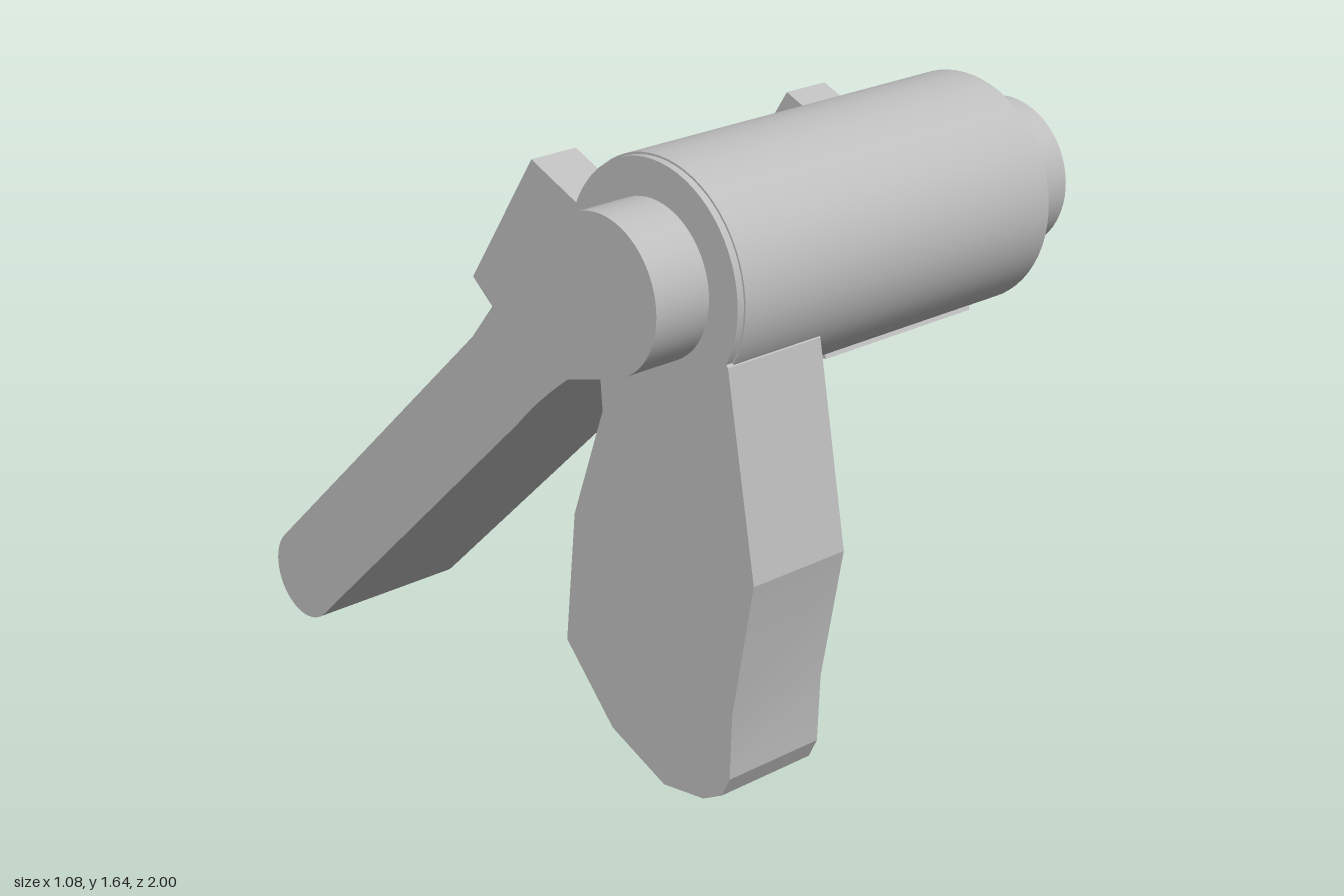
import * as THREE from 'three';
import { toCreasedNormals } from 'three/addons/utils/BufferGeometryUtils.js';

const AXIS_Z = 0.715, AXIS_Y = 1.41;

export function createModel() {
  const model = new THREE.Group();
  model.name = 'pivotLever';
  const steel = new THREE.MeshStandardMaterial({ color: 0xbfbfbf });
  steel.name = 'plain grey';

  const add = (name, geometry) => {
    const mesh = new THREE.Mesh(geometry, steel);
    mesh.name = name;
    model.add(mesh);
  };

  // Side profile drawn as (z, y), extruded from x0 to x1
  const slab = (name, shape, x0, x1) => {
    const g = new THREE.ExtrudeGeometry(shape, { depth: x1 - x0, bevelEnabled: false, curveSegments: 20 });
    g.rotateY(-Math.PI / 2).translate(x1, 0, 0);
    add(name, toCreasedNormals(g, 0.3));
  };

  // Cylinder lying along x on the pivot axis
  const round = (name, r, x0, x1) => {
    const g = new THREE.CylinderGeometry(r, r, x1 - x0, 64);
    g.rotateZ(Math.PI / 2).translate((x0 + x1) / 2, AXIS_Y, AXIS_Z);
    add(name, g);
  };

  const outline = (pts) => new THREE.Shape(pts.map(([z, y]) => new THREE.Vector2(z, y)));

  // Pivot pin, barrel and the thin collar of the hanging finger
  round('pivotPin', 0.153, -0.54, 0.54);
  round('barrel', 0.23, -0.4, 0.4);
  round('fingerCollar', 0.226, -0.415, -0.185);

  // Curved lever with a rounded tip
  const lever = new THREE.Shape();
  lever.moveTo(0.84, 1.207);
  lever.lineTo(0.75, 1.4);
  lever.lineTo(0.535, 1.557);
  lever.splineThru([[0.43, 1.502], [0.26, 1.4], [0.12, 1.302], [0, 1.193], [-0.11, 1.072], [-0.22, 0.932]]
    .map(([z, y]) => new THREE.Vector2(z, y)));
  lever.absarc(-0.89, 0.11, 0.11, Math.PI * 0.75, Math.PI * 1.75, false);
  lever.lineTo(-0.07, 0.775);
  lever.splineThru([[0, 0.848], [0.1, 0.934], [0.2, 1.003], [0.37, 1.09], [0.57, 1.152], [0.68, 1.182]]
    .map(([z, y]) => new THREE.Vector2(z, y)));
  slab('lever', lever, -0.085, 0.31);

  // Matching angular lugs at both ends of the barrel
  const lug = outline([[0.35, 1.54], [0.17, 1.255], [0.37, 1.1], [0.66, 1.19], [0.7, 1.4]]);
  slab('leftLug', lug, 0.28, 0.387);
  slab('rightLug', lug, -0.39, -0.28);

  // Faceted finger hanging from the barrel
  slab('finger', outline([
    [0.8, 1.42], [0.92, 1.3], [1, 0.9], [0.953, 0.62], [0.95, 0.48], [0.93, 0.437], [0.88, 0.408],
    [0.77, 0.39], [0.62, 0.45], [0.483, 0.59], [0.505, 0.87], [0.585, 1.11], [0.57, 1.25], [0.62, 1.42],
  ]), -0.415, -0.185);

  return model;
}
